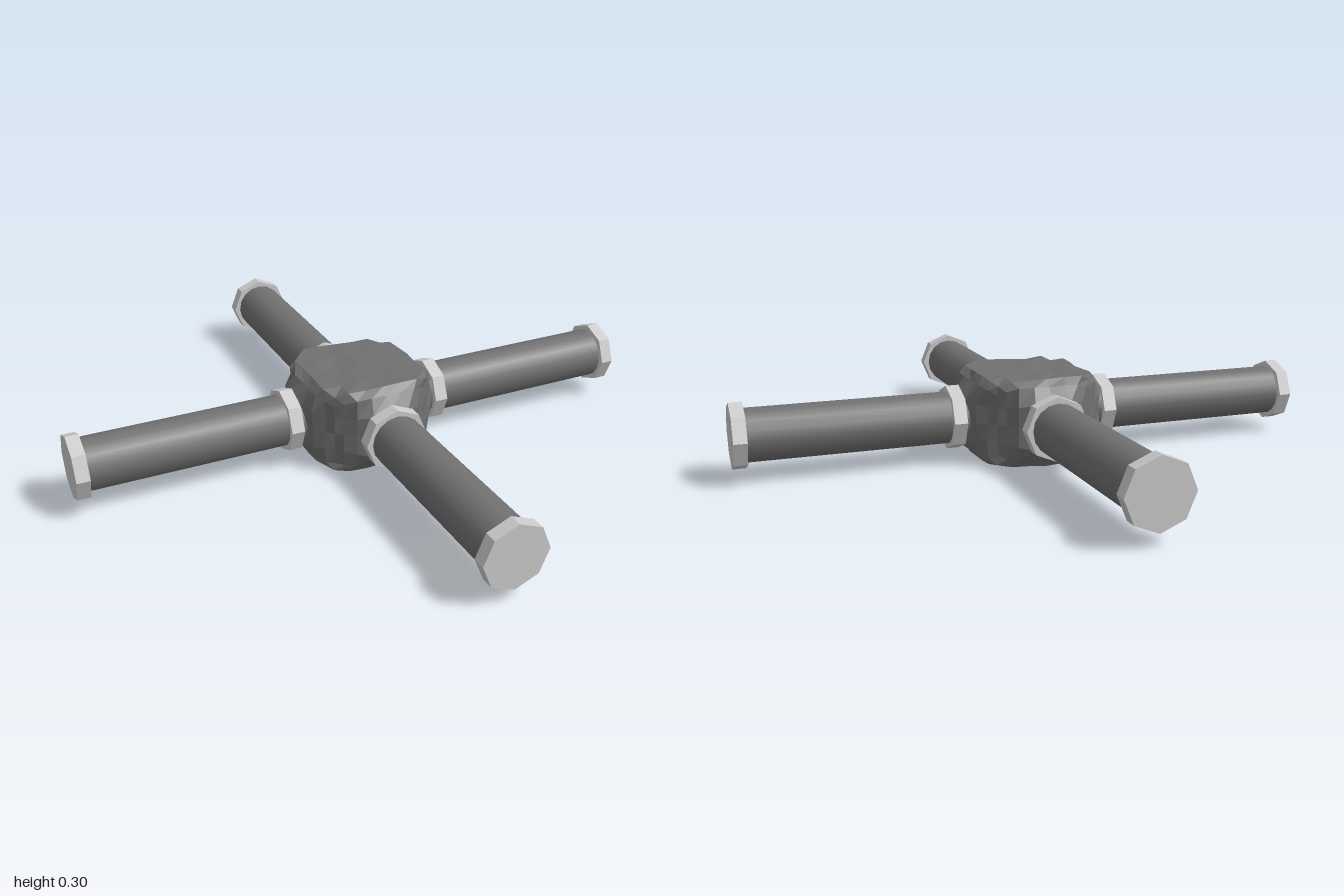
import * as THREE from 'three';

const Y = 0.15; // height of the pipe axes
const light = new THREE.MeshStandardMaterial({ color: 0xcccccc, flatShading: true });
const dark = new THREE.MeshStandardMaterial({ color: 0x707070 });
const darkFlat = new THREE.MeshStandardMaterial({ color: 0x707070, flatShading: true });

// Cylinder lying along +x between two distances from the centre
function tube(name, radius, from, to, sides, material) {
  const geometry = new THREE.CylinderGeometry(radius, radius, to - from, sides);
  geometry.rotateZ(-Math.PI / 2).translate((from + to) / 2, 0, 0);
  const mesh = new THREE.Mesh(geometry, material);
  mesh.name = name;
  return mesh;
}

// Box with every edge cut by a 45 degree plane, slightly dented all over
function hubGeometry() {
  const geometry = new THREE.BoxGeometry(0.5, 0.3, 0.5, 8, 4, 8);
  const p = geometry.attributes.position;
  const v = new THREE.Vector3();
  for (let i = 0; i < p.count; i++) {
    v.fromBufferAttribute(p, i);
    const x = Math.abs(v.x), y = Math.abs(v.y), z = Math.abs(v.z);
    const cut = Math.max(x + z, x + y, y + z) / 0.34;
    if (cut > 1) v.divideScalar(cut);
    // Repeatable dent depending only on position, so the seams stay closed
    const [a, b, c] = [v.x, v.y, v.z].map((n) => Math.round(n * 1000));
    const noise = Math.sin(a * 12.9898 + b * 78.233 + c * 37.719) * 43758.5453;
    const centre = Math.hypot(x, z) < 0.01;
    if (!centre) v.multiplyScalar(1 - 0.05 * (noise - Math.floor(noise)));
    p.setXYZ(i, v.x, v.y, v.z);
  }
  geometry.computeVertexNormals();
  return geometry;
}

export function createModel() {
  const model = new THREE.Group();
  model.name = 'pipeCross';

  const hub = new THREE.Mesh(hubGeometry(), darkFlat);
  hub.name = 'hub';
  hub.position.y = Y;
  model.add(hub);

  // Four equal arms, each with a collar at the hub and a capped end
  ['left', 'back', 'right', 'front'].forEach((side, i) => {
    const arm = new THREE.Group();
    arm.name = side + 'Arm';
    arm.add(
      tube('pipe', 0.088, 0.22, 0.97, 16, dark),
      tube('innerCollar', 0.109, 0.247, 0.292, 8, light),
      tube('endCap', 0.109, 0.956, 1, 8, light)
    );
    arm.position.y = Y;
    arm.rotation.y = (i * Math.PI) / 2;
    model.add(arm);
  });

  return model;
}
